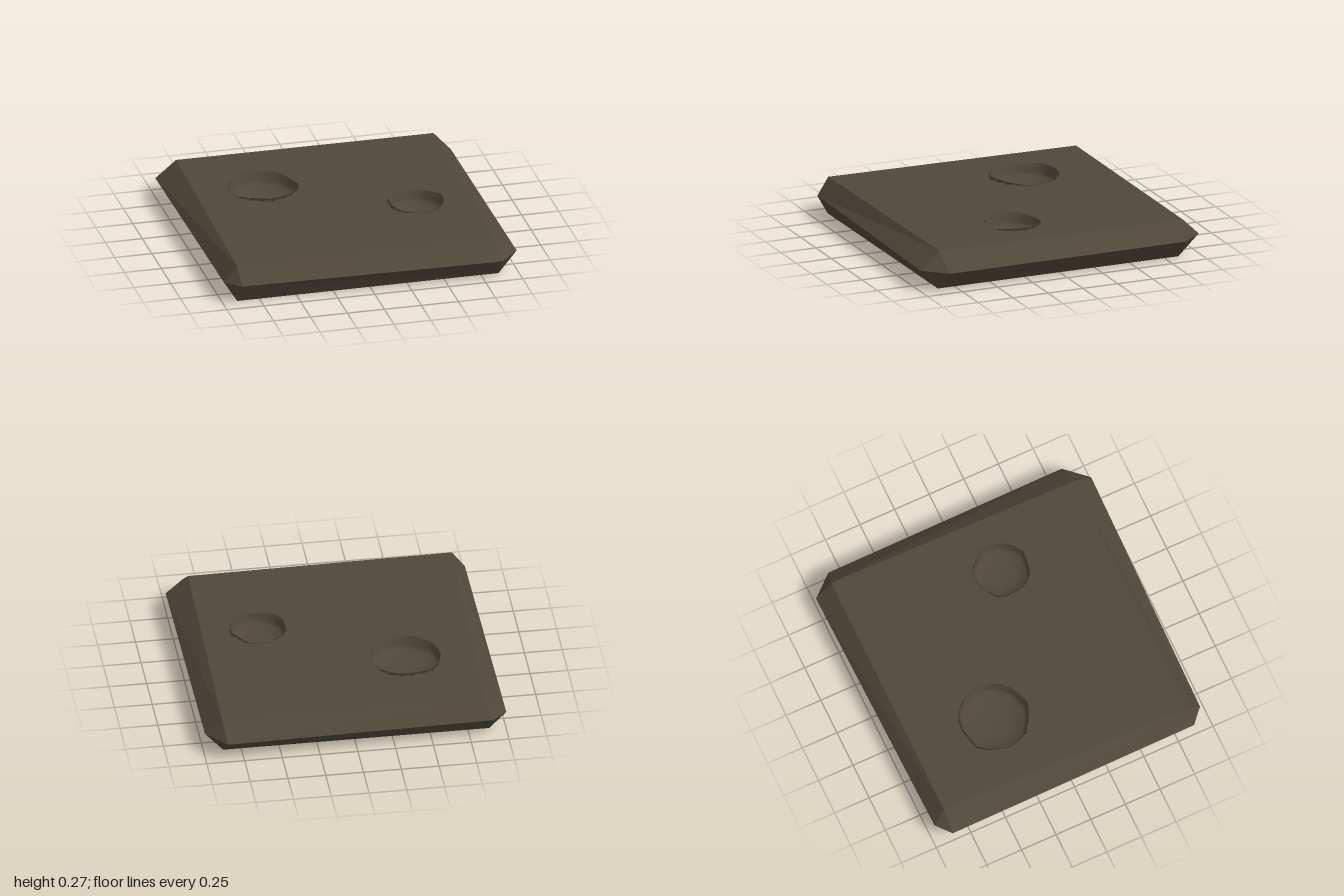
import * as THREE from 'three';

const TOP = 0.25, MID = 0.135;

// Corners run back-left, back-right, front-right, front-left seen from above: [x, z]
const topCorners = [[-0.86, -0.88], [0.88, -0.88], [0.85, 0.85], [-0.9, 0.875]];
const bottomCorners = [[-0.89, -0.85], [0.87, -0.85], [0.87, 0.87], [-0.9, 0.88]];
const rimCorners = [
  [[-1, -0.88], [-0.9, -0.965]], [[0.86, -1], [0.99, -0.85]],
  [[1, 0.84], [0.865, 0.99]], [[-0.885, 0.96], [-0.985, 0.87]],
];

const pits = [
  { name: 'largePit', x: -0.42, z: -0.31, r: 0.235, depth: 0.09, phase: 0.4, lift: (a) => 0.012 - 0.01 * Math.cos(2 * a) },
  { name: 'smallPit', x: 0.49, z: 0.168, r: 0.188, depth: 0.09, phase: 2.1, lift: (a) => 0.01 + 0.01 * Math.cos(2 * a) },
];
const SIDES = 20;

// Uneven, roughly round outline of a pit, scaled by s
function pitPoint(pit, i, s) {
  const a = (i / SIDES) * Math.PI * 2;
  const r = pit.r * s * (1 + 0.025 * Math.sin(5 * a + pit.phase) + 0.02 * Math.sin(8 * a + 2 * pit.phase));
  return [pit.x + r * Math.cos(a), pit.z + r * Math.sin(a), a];
}

// Bevelled sides and underside of the slab
function slabSides() {
  const pos = [];
  const tri = (a, b, c) => pos.push(...a, ...b, ...c);
  const at = ([x, z], y) => [x, y, z];
  for (let k = 0; k < 4; k++) {
    const n = (k + 1) % 4;
    const m0 = at(rimCorners[k][0], MID), m1 = at(rimCorners[k][1], MID), next = at(rimCorners[n][0], MID);
    const t = at(topCorners[k], TOP), tn = at(topCorners[n], TOP);
    const b = at(bottomCorners[k], 0), bn = at(bottomCorners[n], 0);
    tri(t, m1, m0);
    tri(b, m0, m1);
    tri(t, tn, next);
    tri(t, next, m1);
    tri(b, next, bn);
    tri(b, m1, next);
  }
  const [a, b, c, d] = bottomCorners.map((p) => at(p, 0));
  tri(a, b, c);
  tri(a, c, d);
  const geo = new THREE.BufferGeometry();
  geo.setAttribute('position', new THREE.Float32BufferAttribute(pos, 3));
  geo.computeVertexNormals();
  return geo;
}

// Flat top with an opening for each pit
function slabTop() {
  const shape = new THREE.Shape(topCorners.map(([x, z]) => new THREE.Vector2(x, -z)));
  for (const pit of pits) {
    const points = [];
    for (let i = 0; i < SIDES; i++) {
      const [x, z] = pitPoint(pit, i, 1);
      points.push(new THREE.Vector2(x, -z));
    }
    shape.holes.push(new THREE.Path(points));
  }
  return new THREE.ShapeGeometry(shape).rotateX(-Math.PI / 2).translate(0, TOP, 0);
}

// Sunken bowl with a raised, uneven lip; rings go from the lip inwards
function pitBowl(pit) {
  const rings = [[1, 0], [0.97, 'lip'], [0.94, -0.45], [0.85, -0.8], [0.5, -0.96], [0.001, -1]];
  const pos = [], index = [];
  for (const [s, h] of rings) {
    for (let i = 0; i < SIDES; i++) {
      const [x, z, a] = pitPoint(pit, i, s);
      pos.push(x, TOP + (h === 'lip' ? pit.lift(a) : h * pit.depth), z);
    }
  }
  for (let j = 0; j < rings.length - 1; j++) {
    for (let i = 0; i < SIDES; i++) {
      const n = (i + 1) % SIDES;
      const a = j * SIDES + i, b = j * SIDES + n, c = a + SIDES, d = b + SIDES;
      index.push(a, c, b, b, c, d);
    }
  }
  const geo = new THREE.BufferGeometry();
  geo.setAttribute('position', new THREE.Float32BufferAttribute(pos, 3));
  geo.setIndex(index);
  geo.computeVertexNormals();
  return geo;
}

export function createModel() {
  const group = new THREE.Group();
  group.name = 'stoneSlab';
  const stone = new THREE.MeshStandardMaterial({ color: 0x4f483a, flatShading: true });
  const pitStone = new THREE.MeshStandardMaterial({ color: 0x4f483a, side: THREE.DoubleSide });
  const add = (name, geo, mat) => {
    const mesh = new THREE.Mesh(geo, mat);
    mesh.name = name;
    group.add(mesh);
  };
  add('slabSides', slabSides(), stone);
  add('slabTop', slabTop(), stone);
  for (const pit of pits) add(pit.name, pitBowl(pit), pitStone);
  return group;
}
